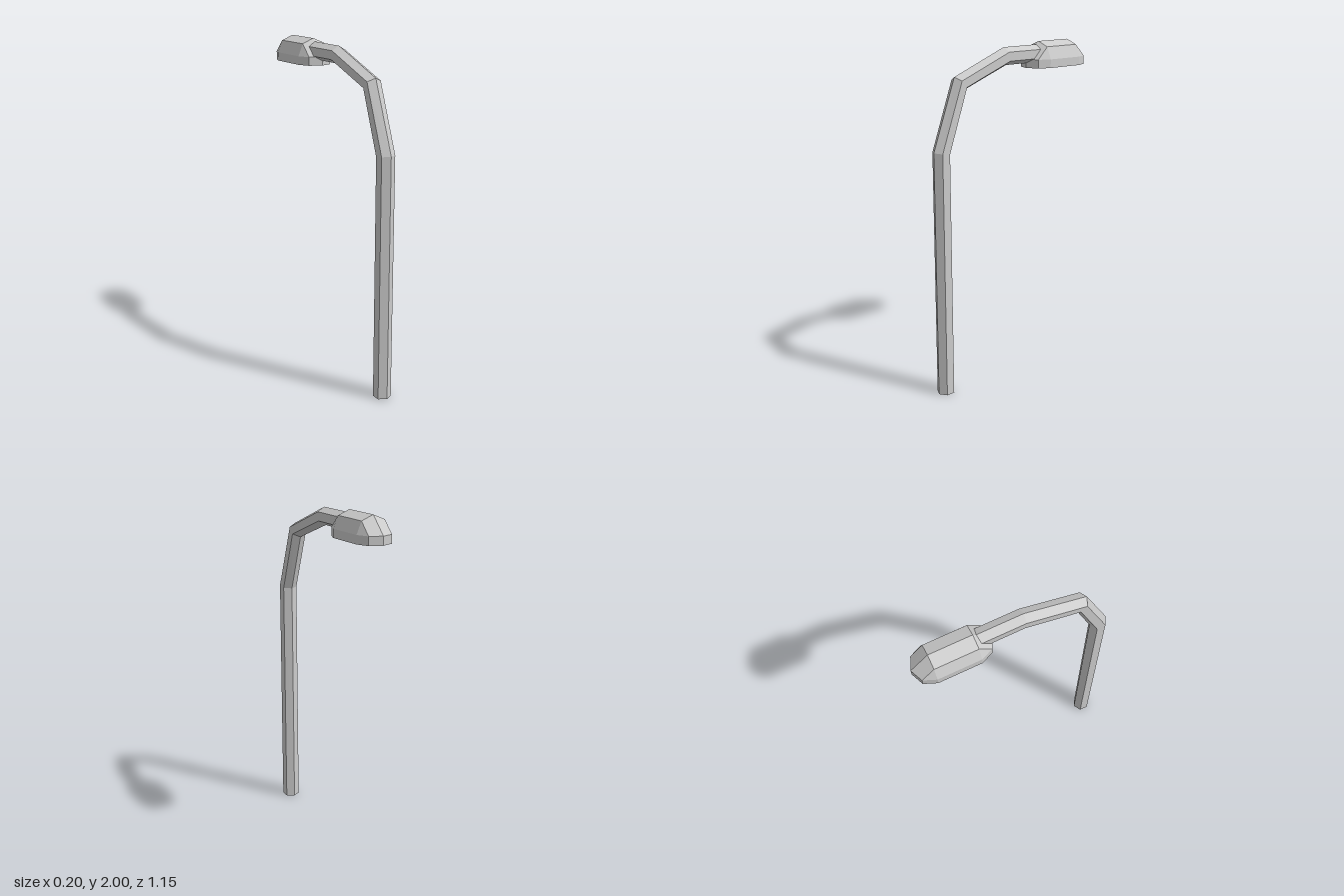
import * as THREE from 'three';

const material = new THREE.MeshStandardMaterial({ color: 0xcccccc, flatShading: true, side: THREE.DoubleSide });

// Skin a list of closed rings (ordered top to bottom, counter-clockwise from above).
function loft(name, rings) {
  const pos = [];
  const tri = (a, b, c) => {
    const area = b.clone().sub(a).cross(c.clone().sub(a)).length();
    if (area > 1e-7) pos.push(...a, ...b, ...c); // collapsed corners give no face
  };
  for (let i = 0; i < rings.length - 1; i++) {
    const up = rings[i], low = rings[i + 1], n = up.length;
    for (let j = 0; j < n; j++) {
      const k = (j + 1) % n;
      tri(up[j], low[j], low[k]);
      tri(up[j], low[k], up[k]);
    }
  }
  const geometry = new THREE.BufferGeometry();
  geometry.setAttribute('position', new THREE.Float32BufferAttribute(pos, 3));
  geometry.computeVertexNormals();
  const mesh = new THREE.Mesh(geometry, material);
  mesh.name = name;
  return mesh;
}

// Six-sided ring in the bent pole; tilt turns the outer edge from +z up to +y.
function poleRing(y, z, tiltDegrees, radius = 0.052) {
  const t = THREE.MathUtils.degToRad(tiltDegrees);
  return Array.from({ length: 6 }, (_, j) => {
    const a = (j * Math.PI) / 3, r = radius * Math.cos(a);
    return new THREE.Vector3(radius * Math.sin(a), y + r * Math.sin(t), z + r * Math.cos(t));
  });
}

// Ring shaped like a stadium: two half octagons around the front and back centres.
const FRONT_Z = -0.23, BACK_Z = -0.475;
function headRing(point) {
  const ring = [];
  for (const [start, zc] of [[-2, FRONT_Z], [2, BACK_Z]]) {
    for (let s = 0; s < 5; s++) {
      const a = ((start + s) * Math.PI) / 4;
      const [x, y, dz] = point(Math.sin(a), Math.cos(a));
      ring.push(new THREE.Vector3(x, y, zc + dz));
    }
  }
  return ring;
}
const outline = (radius, y) => headRing((s, c) => [s * radius, y, c * radius]);

export function createModel() {
  const model = new THREE.Group();
  model.name = 'streetLamp';

  // Pole with its arm bending over in three steps, open at the foot
  model.add(loft('pole', [
    poleRing(1.93, -0.25, 90),
    poleRing(1.93, 0.043, 80),
    poleRing(1.804, 0.384, 47),
    poleRing(1.432, 0.522, 8),
    poleRing(0, 0.522, 0),
  ]));

  // Lamp head: ridge, shoulder, rim, then a shallow recess underneath
  const R = 0.102, shoulder = R * Math.SQRT1_2;
  model.add(loft('lampHead', [
    headRing(() => [0, 2, 0]),
    headRing((s) => (Math.abs(s) < 0.1 ? [0, 2, 0] : [Math.sign(s) * shoulder, 1.971, 0])),
    outline(R, 1.9),
    outline(R, 1.85),
    outline(R * 0.72, 1.85),
    outline(R * 0.72, 1.87),
    headRing(() => [0, 1.87, 0]),
  ]));

  return model;
}
